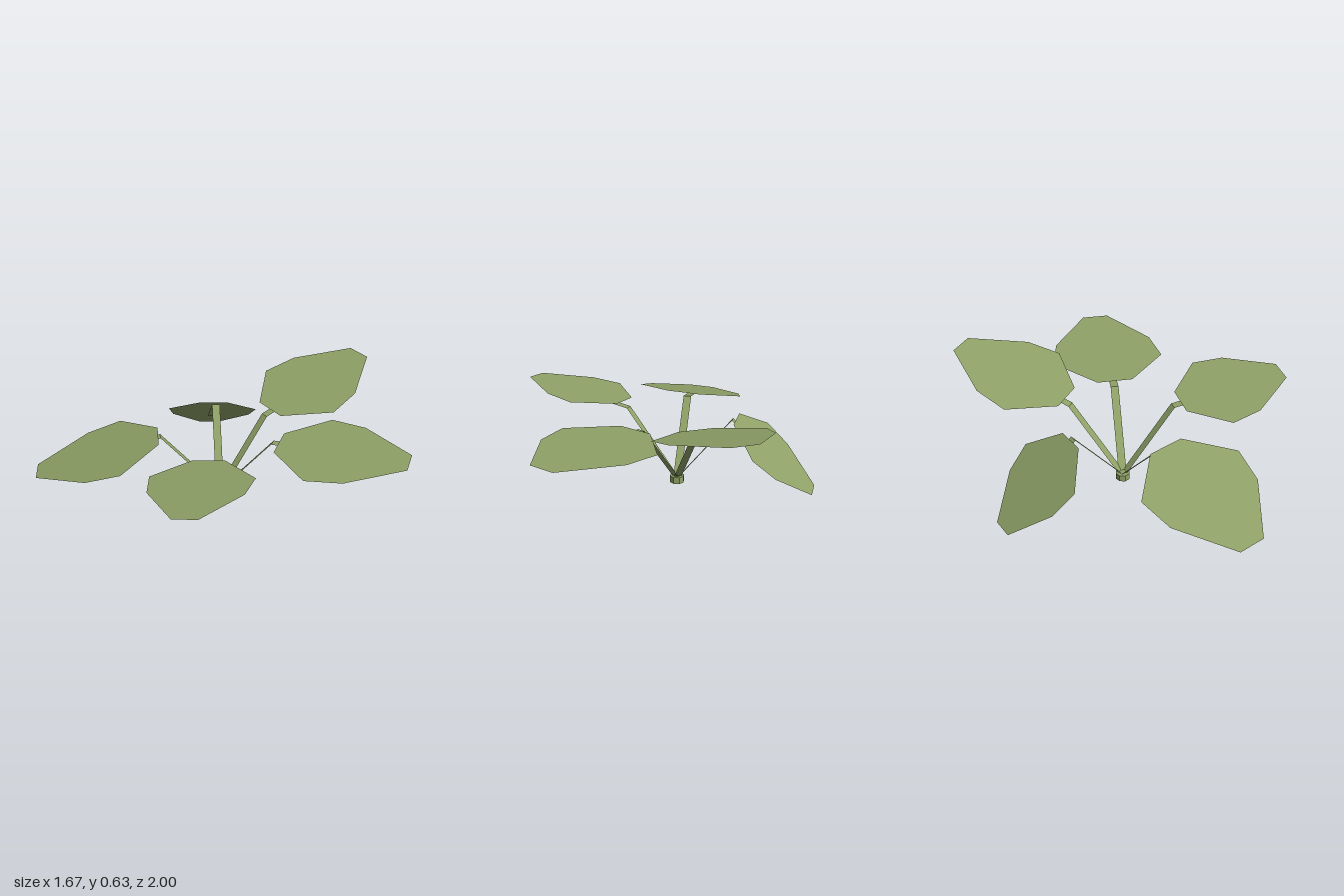
import * as THREE from 'three';

const CX = -0.113, CZ = 0.04;      // where the stems meet
const LEAF_LENGTH = 0.706, STEM_WIDTH = 0.046;

// Half outline of a leaf: [half width, distance from base]
const PROFILE = [[0.1, 0], [0.317, 0.22], [0.283, 0.417], [0.075, LEAF_LENGTH]];

// base and tip as [x, z]; plane as y = a + b*x + c*z; knee as [x, z]
const LEAVES = [
  { name: 'backLeaf', base: [-0.1, -0.315], tip: [-0.096, -1], plane: [0.377, 0, -0.248], knee: [-0.113, -0.285] },
  { name: 'backLeftLeaf', base: [0.193, -0.15], tip: [0.788, -0.57], plane: [0.424, 0.015, -0.02], knee: [0.155, -0.135] },
  { name: 'frontLeftLeaf', base: [0.135, 0.283], tip: [0.573, 0.73], plane: [0.426, 0.135, 0.015], knee: [0.12, 0.245] },
  { name: 'frontRightLeaf', base: [-0.26, 0.358], tip: [-0.598, 0.963], plane: [0.552, 0.177, -0.199], knee: [-0.275, 0.335] },
  { name: 'backRightLeaf', base: [-0.408, -0.132], tip: [-0.8, -0.358], plane: [0.78, 0.717, 0.515], knee: [-0.385, -0.128] },
];

// Flat strip through points, each with its own sideways direction
function ribbon(points, sides, width) {
  const pos = [], index = [];
  points.forEach((p, i) => {
    for (const s of [-0.5, 0.5]) pos.push(...p.clone().addScaledVector(sides[i], s * width).toArray());
    if (i > 0) {
      const k = 2 * i - 2;
      index.push(k, k + 1, k + 3, k, k + 3, k + 2);
    }
  });
  const geo = new THREE.BufferGeometry();
  geo.setAttribute('position', new THREE.Float32BufferAttribute(pos, 3));
  geo.setIndex(index);
  geo.computeVertexNormals();
  return geo;
}

export function createModel() {
  const green = new THREE.MeshStandardMaterial({ color: 0x8fa167, flatShading: true, side: THREE.DoubleSide });
  green.name = 'leafGreen';
  const model = new THREE.Group();
  model.name = 'plant';
  const add = (name, geo) => {
    const mesh = new THREE.Mesh(geo, green);
    mesh.name = name;
    model.add(mesh);
    return mesh;
  };

  // Short octagonal root stub
  const stub = add('rootStub', new THREE.CylinderGeometry(0.043, 0.043, 0.04, 8));
  stub.position.set(CX, 0.02, CZ);

  // Shared leaf blade, lying in its own XY plane
  const outline = [...PROFILE, ...PROFILE.map(([w, d]) => [-w, d]).reverse()];
  const blade = new THREE.ShapeGeometry(new THREE.Shape(outline.map(([x, y]) => new THREE.Vector2(x, y))));

  for (const { name, base, tip, plane: [a, b, c], knee } of LEAVES) {
    const onPlane = ([x, z]) => new THREE.Vector3(x, a + b * x + c * z, z);
    const start = onPlane(base), end = onPlane(tip);
    const dir = end.clone().sub(start);
    const scale = dir.length() / LEAF_LENGTH;
    dir.normalize();
    const normal = new THREE.Vector3(-b, 1, -c).normalize();
    const side = dir.clone().cross(normal);

    // Leaf blade placed on its tilted plane
    const leaf = add(name, blade);
    leaf.quaternion.setFromRotationMatrix(new THREE.Matrix4().makeBasis(side, dir, normal));
    leaf.position.copy(start);
    leaf.scale.setScalar(scale);

    // Flat stem rising to a knee, then running beneath the blade
    const foot = new THREE.Vector3(CX, 0.02, CZ);
    const bend = new THREE.Vector3(knee[0], 0.418, knee[1]);
    const mid = start.clone().lerp(end, 0.5).addScaledVector(normal, -0.02);
    const across = new THREE.Vector3(-(knee[1] - CZ), 0, knee[0] - CX).normalize();
    add(name + 'Stem', ribbon([foot, bend, mid], [across, across, side], STEM_WIDTH));
  }
  return model;
}
